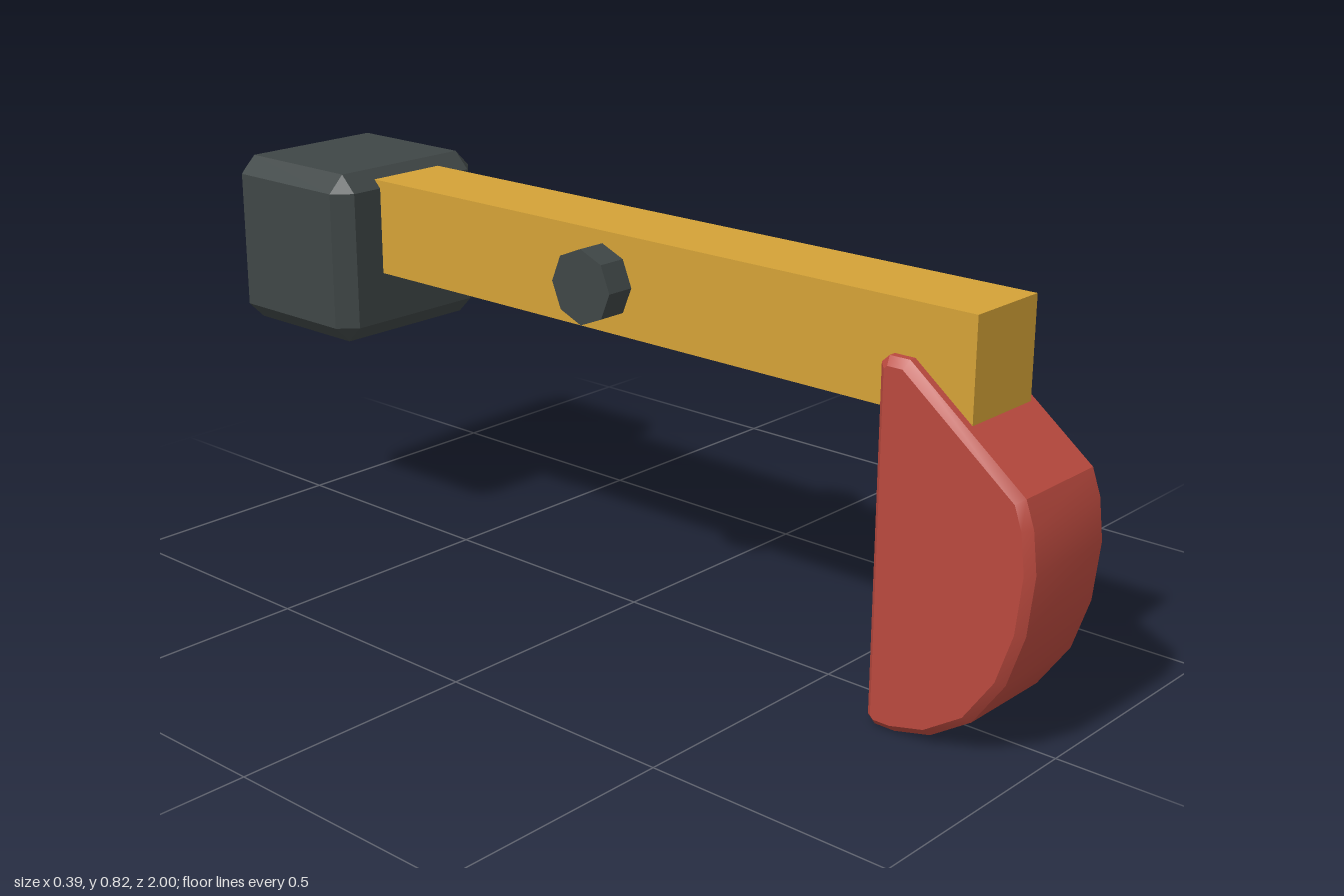
import * as THREE from 'three';
import { ConvexGeometry } from 'three/addons/geometries/ConvexGeometry.js';
import { toCreasedNormals } from 'three/addons/utils/BufferGeometryUtils.js';

function material(name, color) {
  const m = new THREE.MeshStandardMaterial({ color });
  m.name = name;
  return m;
}

// Box with every edge cut by a flat chamfer c
function chamferedBox(w, h, d, c) {
  const points = [];
  for (const sx of [-1, 1]) for (const sy of [-1, 1]) for (const sz of [-1, 1]) {
    for (let axis = 0; axis < 3; axis++) {
      const inset = [c, c, c];
      inset[axis] = 0;
      points.push(new THREE.Vector3(
        sx * (w / 2 - inset[0]), sy * (h / 2 - inset[1]), sz * (d / 2 - inset[2])));
    }
  }
  return new ConvexGeometry(points);
}

export function createModel() {
  const model = new THREE.Group();
  model.name = 'pumpjackBeam';

  const yellow = material('yellowPaint', 0xd4a237);
  const red = material('redPaint', 0xb9493e);
  const dark = material('darkSteel', 0x3f4646);

  const add = (name, geometry, mat, x, y, z) => {
    const mesh = new THREE.Mesh(geometry, mat);
    mesh.name = name;
    mesh.position.set(x, y, z);
    model.add(mesh);
    return mesh;
  };

  // Walking beam
  add('beam', new THREE.BoxGeometry(0.18, 0.2, 1.7), yellow, 0, 0.7, 0);

  // Pivot pin through the middle of the beam
  const pin = new THREE.CylinderGeometry(0.075, 0.075, 0.302, 8).toNonIndexed();
  pin.rotateZ(Math.PI / 2);
  pin.computeVertexNormals();
  add('pivotPin', pin, dark, 0, 0.7, 0);

  // Counterweight at the rear
  add('counterweight', chamferedBox(0.394, 0.362, 0.363, 0.036), dark, 0, 0.638, -0.8185);

  // Curved head: side outline as (z, y), extruded across x with a chamfered rim
  const outline = [
    [0.67, 0.015], [0.686, 0], [0.729, 0], [0.806, 0.018], [0.89, 0.072],
    [0.954, 0.163], [0.988, 0.265], [1, 0.38], [0.99, 0.46], [0.972, 0.51],
    [0.729, 0.7], [0.686, 0.7], [0.67, 0.685],
  ].map(([z, y]) => new THREE.Vector2(z, y));
  const bevel = 0.015;
  const head = new THREE.ExtrudeGeometry(new THREE.Shape(outline), {
    depth: 0.24 - 2 * bevel,
    bevelThickness: bevel,
    bevelSize: bevel,
    bevelOffset: -bevel,
    bevelSegments: 1,
  });
  head.translate(0, 0, bevel - 0.12);
  head.rotateY(-Math.PI / 2);
  add('curvedHead', toCreasedNormals(head, 0.52), red, 0, 0, 0);

  return model;
}
